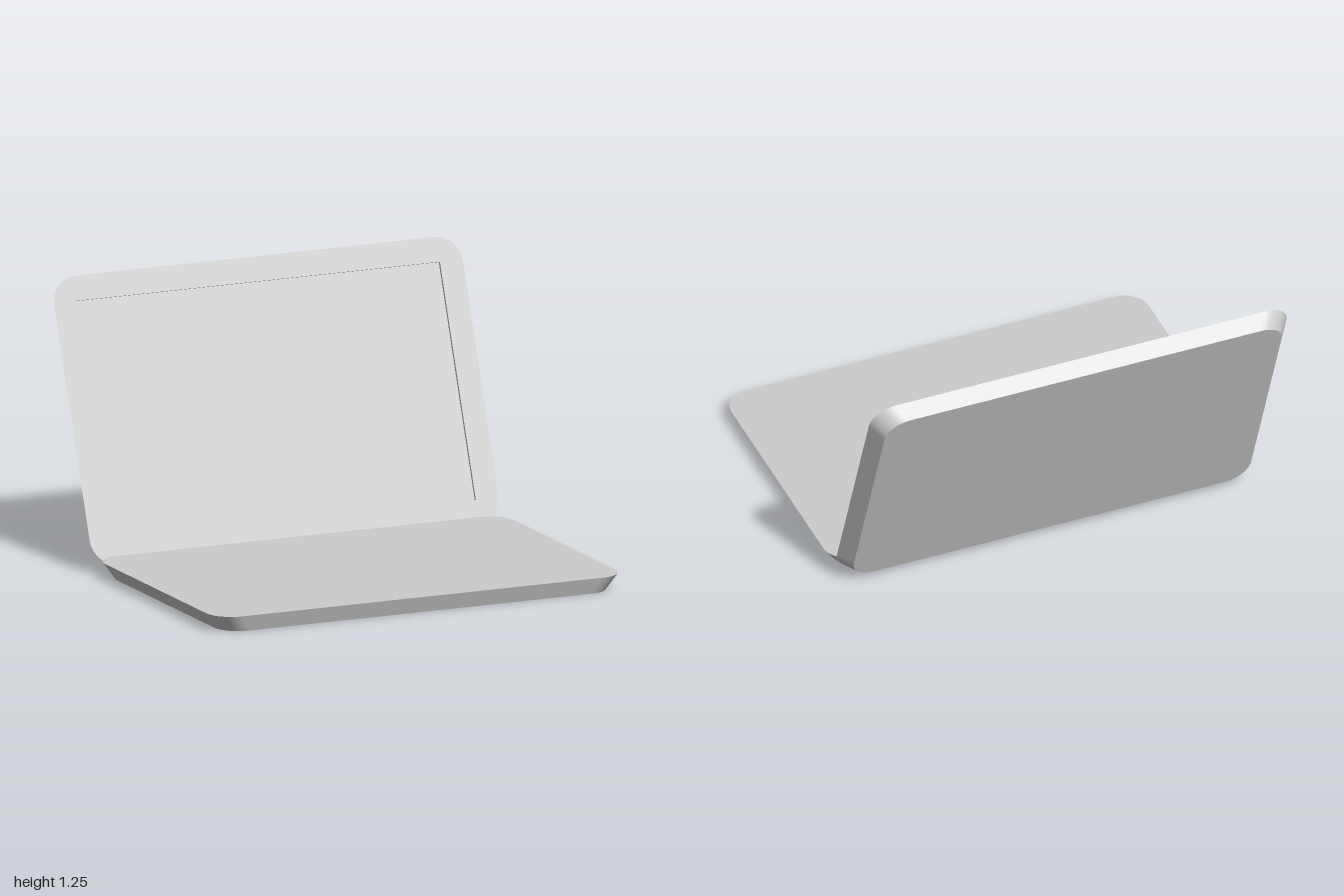
import * as THREE from 'three';

const W = 1, H = 0.648, R = 0.118;   // half width, half length, corner radius
const THICK = 0.075, RECESS = 0.012, MARGIN = 0.112;

const casing = new THREE.MeshStandardMaterial({ color: 0xcccccc });
casing.name = 'light grey casing';

function roundedOutline() {
  const s = new THREE.Shape();
  s.absarc(W - R, H - R, R, 0, Math.PI / 2);
  s.absarc(-W + R, H - R, R, Math.PI / 2, Math.PI);
  s.absarc(-W + R, -H + R, R, Math.PI, Math.PI * 1.5);
  s.absarc(W - R, -H + R, R, Math.PI * 1.5, Math.PI * 2);
  s.closePath();
  return s;
}

// Layer of a tapered slab between two depths below its wide face (local +z)
function slabLayer(name, from, to, hole) {
  const shape = roundedOutline();
  if (hole) shape.holes.push(hole);
  const geo = new THREE.ExtrudeGeometry(shape, { depth: to - from, bevelEnabled: false, curveSegments: 6 });
  geo.translate(0, 0, -to);
  const p = geo.attributes.position;
  for (let i = 0; i < p.count; i++) {
    const x = p.getX(i), y = p.getY(i), t = -p.getZ(i) / THICK;
    const inHole = hole && Math.abs(x) < W - MARGIN + 1e-4 && Math.abs(y) < H - MARGIN + 1e-4;
    if (!inHole) p.setXY(i, x * (1 - 0.049 * t), y * (1 - 0.045 * t));
  }
  geo.computeVertexNormals();
  const mesh = new THREE.Mesh(geo, casing);
  mesh.name = name;
  return mesh;
}

export function createModel() {
  const model = new THREE.Group();
  model.name = 'laptop';

  // Flat base, wide face up
  const base = slabLayer('base', 0, THICK);
  base.rotation.x = -Math.PI / 2;
  base.position.set(0, THICK, 0.257);
  model.add(base);

  // Lid leaning back: solid shell whose face is the screen, and a bezel in front
  const lid = new THREE.Group();
  lid.name = 'lid';
  const x = W - MARGIN, y = H - MARGIN;
  const opening = new THREE.Path([[-x, -y], [-x, y], [x, y], [x, -y]].map(c => new THREE.Vector2(...c)));
  opening.closePath();
  lid.add(slabLayer('screenAndBackShell', RECESS, THICK));
  lid.add(slabLayer('bezel', 0, RECESS, opening));
  lid.rotation.x = -0.357;
  lid.position.set(0, 0.645, -0.618);
  model.add(lid);

  return model;
}
